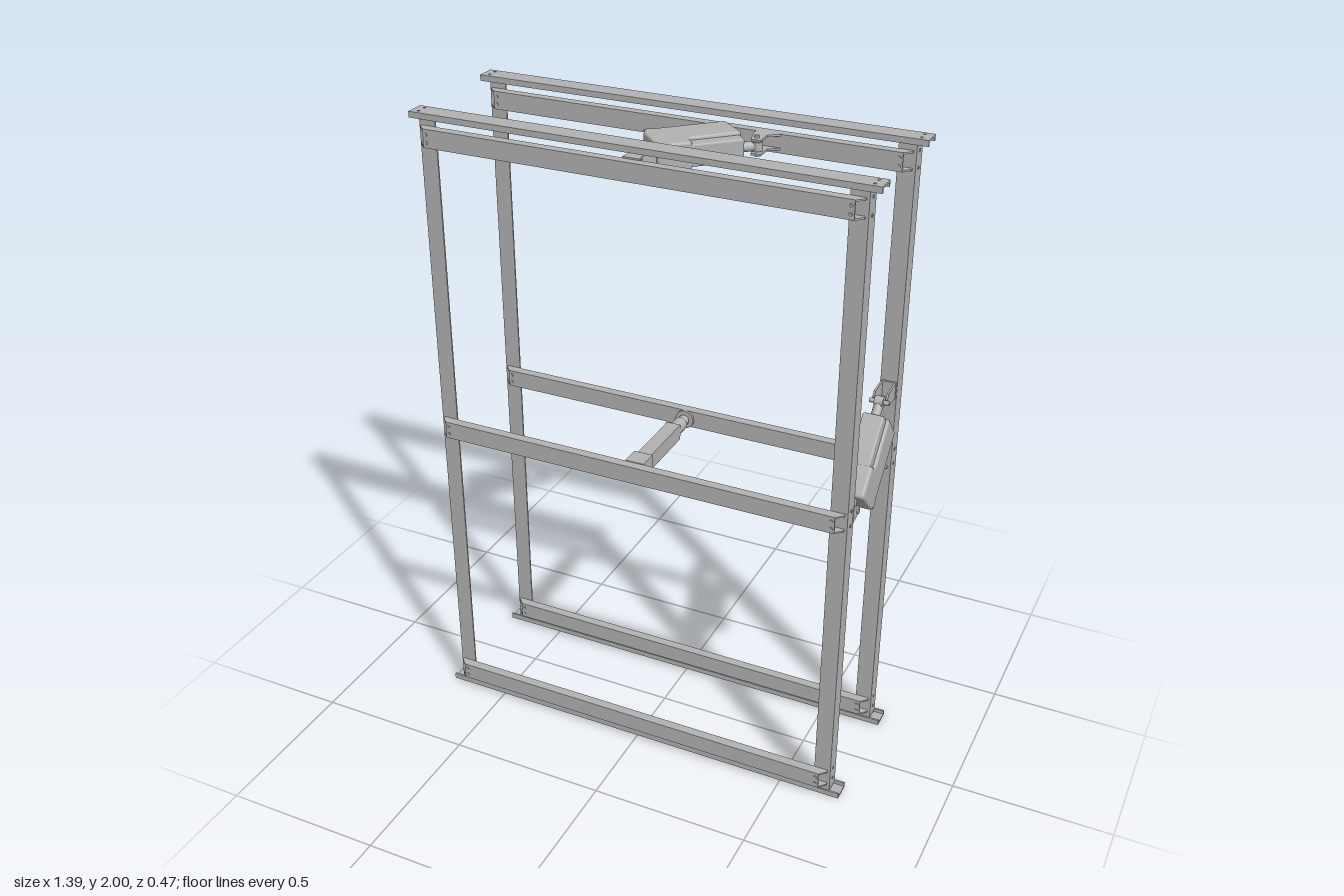
import * as THREE from 'three';

const steel = new THREE.MeshStandardMaterial({ color: 0xb2b2b2 });
steel.name = 'grey steel';

function add(parent, name, geometry, x = 0, y = 0, z = 0) {
  const m = new THREE.Mesh(geometry, steel);
  m.name = name;
  m.position.set(x, y, z);
  parent.add(m);
  return m;
}
const box = (w, h, d) => new THREE.BoxGeometry(w, h, d);
const disc = (r, h) => new THREE.CylinderGeometry(r, r, h, 20);

function extrude(points, depth, bevel = 0) {
  const shape = new THREE.Shape(points.map(p => new THREE.Vector2(...p)));
  const g = new THREE.ExtrudeGeometry(shape, {
    depth: depth - 2 * bevel, bevelEnabled: bevel > 0, bevelSize: bevel,
    bevelThickness: bevel, bevelOffset: -bevel, bevelSegments: 3
  });
  return g.translate(0, 0, bevel - depth / 2);
}

// Polygon with its corners rounded
function rounded(points, r) {
  const s = new THREE.Shape();
  const n = points.length;
  points.forEach((p, i) => {
    const c = new THREE.Vector2(...p);
    const a = new THREE.Vector2(...points[(i + n - 1) % n]).sub(c).setLength(r).add(c);
    const b = new THREE.Vector2(...points[(i + 1) % n]).sub(c).setLength(r).add(c);
    if (i === 0) s.moveTo(a.x, a.y); else s.lineTo(a.x, a.y);
    s.quadraticCurveTo(c.x, c.y, b.x, b.y);
  });
  s.closePath();
  return s.getPoints(5).slice(0, -1).map(p => [p.x, p.y]);
}

// Top or bottom rail: shallow channel with the lips turned into the frame
function rail(name, dir) {
  const g = new THREE.Group();
  g.name = name;
  add(g, 'railWeb', box(1.39, 0.006, 0.06), 0, -0.003 * dir);
  for (const s of [-1, 1]) {
    add(g, 'railLip', box(1.39, 0.012, 0.006), 0, -0.012 * dir, s * 0.027);
    for (const t of [-1, 1]) add(g, 'railBolt', disc(0.004, 0.003), s * 0.67, 0, t * 0.015);
  }
  return g;
}

// Crossbar: channel open to the back, with flanges tapered at the ends
function crossbar() {
  const g = new THREE.Group();
  g.name = 'crossbar';
  add(g, 'crossbarWeb', box(1.27, 0.055, 0.005), 0, 0, 0.0265);
  const flange = [[-0.655, 0], [0.655, 0], [0.655, -0.008], [0.635, -0.029], [-0.635, -0.029], [-0.655, -0.008]];
  for (const s of [-1, 1]) {
    add(g, 'crossbarFlange', extrude(flange, 0.005).rotateX(-Math.PI / 2), 0, s * 0.025, 0);
    for (const t of [-1, 1])
      add(g, 'crossbarBolt', disc(0.005, 0.004).rotateX(Math.PI / 2), s * 0.625, t * 0.012, 0.03);
  }
  return g;
}

// One rectangular frame, centred on its posts in z
function frame(name, z) {
  const g = new THREE.Group();
  g.name = name;
  g.position.z = z;
  for (const s of [-1, 1]) {
    add(g, 'postFace', box(0.052, 1.97, 0.005), s * 0.637, 1, 0.0235);
    add(g, 'postFlange', box(0.005, 1.97, 0.047), s * 0.6605, 1, -0.0025);
    for (const y of [0.05, 0.09, 0.98, 1.03, 1.91, 1.96])
      add(g, 'postBolt', disc(0.005, 0.003).rotateZ(Math.PI / 2), s * 0.6635, y, 0);
  }
  const top = rail('topRail', 1), bottom = rail('bottomRail', -1);
  top.position.y = 2;
  g.add(top, bottom);
  for (const y of [0.07, 1.005, 1.938]) {
    const b = crossbar();
    b.position.set(0, y, 0.027);
    g.add(b);
  }
  return g;
}

// Linear actuator: x runs along the rod, y points towards the motor
function actuator(name, origin, u, w) {
  const g = new THREE.Group();
  g.name = name;
  const outline = rounded([[0.03, -0.028], [0.13, -0.028], [0.13, 0.01], [0.285, 0.01], [0.275, 0.115], [0.045, 0.115], [0.028, 0.1]], 0.012);
  add(g, 'motorHousing', extrude(outline, 0.083, 0.008));
  add(g, 'slideHousing', extrude(rounded([[0.12, -0.026], [0.28, -0.026], [0.28, 0.015], [0.12, 0.015]], 0.008), 0.064, 0.005));
  // Raised ribs on the housing back
  for (const z of [-0.02, 0, 0.02]) add(g, 'housingRib', box(0.16, 0.004, 0.01), 0.16, 0.115, z);
  add(g, 'rod', disc(0.014, 0.06).rotateZ(Math.PI / 2), 0.295, 0, 0);
  add(g, 'rodEye', disc(0.017, 0.026).rotateX(Math.PI / 2), 0.325, 0, 0);
  add(g, 'rodPin', disc(0.007, 0.06).rotateX(Math.PI / 2), 0.325, 0, 0);
  add(g, 'baseLug', box(0.05, 0.03, 0.03), 0.015, 0, 0);
  add(g, 'basePin', disc(0.009, 0.064).rotateX(Math.PI / 2));
  const U = new THREE.Vector3(...u).normalize(), W = new THREE.Vector3(...w).normalize();
  g.quaternion.setFromRotationMatrix(new THREE.Matrix4().makeBasis(U, W, U.clone().cross(W)));
  g.position.set(...origin);
  return g;
}

// Pair of cheek plates around a pin; outline is in the (z, y) plane
function cheeks(parent, name, outline, gap) {
  const g = new THREE.Group();
  g.name = name;
  for (const s of [-1, 1]) add(g, 'bracketPlate', extrude(outline, 0.006).rotateY(-Math.PI / 2), s * gap);
  parent.add(g);
  return g;
}

export function createModel() {
  const model = new THREE.Group();
  model.name = 'twinFrame';
  model.add(frame('frontFrame', 0.18), frame('backFrame', -0.205));

  // Actuator lying between the upper crossbars
  model.add(actuator('topActuator', [0, 1.943, 0.13], [0.72, 0, -0.69], [-0.69, 0, -0.72]));
  const topFront = cheeks(model, 'topFrontBracket', [[0.21, -0.025], [0.21, 0.025], [0.125, 0.014], [0.115, 0], [0.125, -0.014]], 0.024);
  topFront.position.y = 1.943;
  topFront.rotation.z = Math.PI / 2;
  const topBack = cheeks(model, 'topBackBracket', [[-0.15, -0.05], [-0.15, 0.025], [-0.13, 0.025], [-0.075, 0.01], [-0.075, -0.018], [-0.125, -0.018]], 0.02);
  topBack.position.set(0.235, 1.943, 0);
  topBack.rotation.z = Math.PI / 2;

  // Actuator standing between the posts on the left
  model.add(actuator('sideActuator', [0.637, 1, 0.125], [0, 0.72, -0.69], [0, -0.69, -0.72]));
  cheeks(model, 'sideFrontBracket', [[0.16, 0.975], [0.16, 1.03], [0.125, 1.018], [0.108, 1.005], [0.115, 0.985]], 0.024)
    .position.x = 0.637;
  cheeks(model, 'sideBackBracket', [[-0.178, 1.215], [-0.178, 1.265], [-0.11, 1.26], [-0.1, 1.245], [-0.11, 1.232], [-0.14, 1.215]], 0.02)
    .position.x = 0.637;
  add(model, 'sideFrontFoot', box(0.055, 0.055, 0.006), 0.637, 1.003, 0.158);
  add(model, 'sideBackFoot', box(0.05, 0.05, 0.006), 0.637, 1.24, -0.176);

  // Strut joining the middle crossbars
  const strut = new THREE.Group();
  strut.name = 'middleStrut';
  strut.position.y = 1.003;
  model.add(strut);
  add(strut, 'strutBar', box(0.044, 0.05, 0.25), 0, 0, 0.06);
  add(strut, 'strutFoot', box(0.06, 0.064, 0.06), 0, 0, 0.178);
  add(strut, 'strutSleeve', disc(0.022, 0.05).rotateX(Math.PI / 2), 0, 0, -0.09);
  add(strut, 'strutNeck', disc(0.01, 0.05).rotateX(Math.PI / 2), 0, 0, -0.125);
  add(strut, 'strutBall', new THREE.SphereGeometry(0.017, 20, 14), 0, 0, -0.135);
  add(strut, 'strutSocket', disc(0.03, 0.01).rotateX(Math.PI / 2), 0, 0, -0.147);
  add(strut, 'strutKnob', disc(0.01, 0.03).rotateZ(Math.PI / 2), -0.022, 0, -0.09);
  return model;
}
